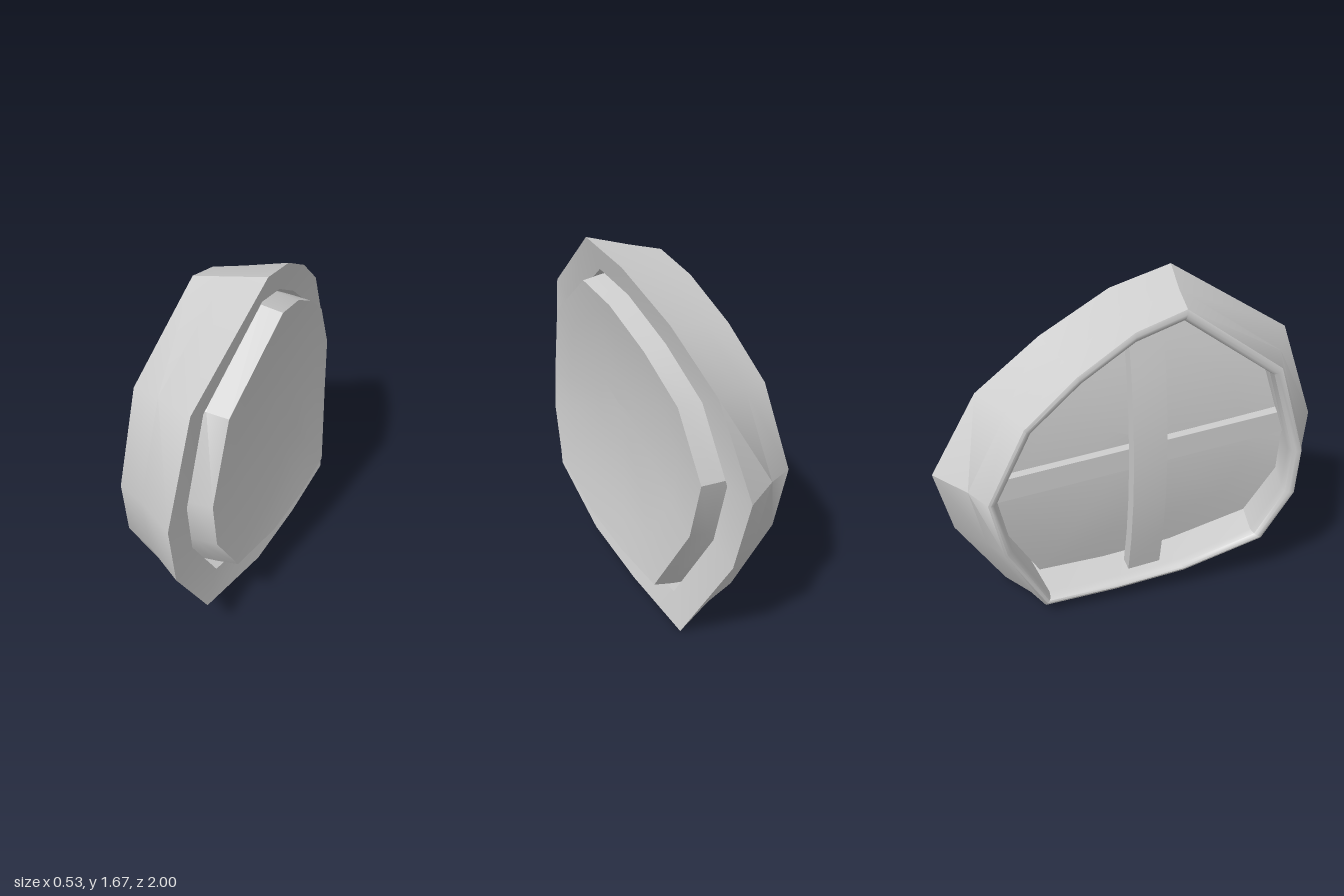
import * as THREE from 'three';
import { toCreasedNormals } from 'three/addons/utils/BufferGeometryUtils.js';

const MID = 0.835; // height of the plate's middle
const material = new THREE.MeshStandardMaterial({ color: 0xcccccc, side: THREE.DoubleSide });

// Outlines as [z, y], counter-clockwise seen from +x
const OUTER = [[0.25, 1.67], [0.84, 1.31], [1, 0.81], [0.985, 0.53], [0.8, 0.22], [0.27, 0.07], [-0.2, 0.02],
  [-0.67, 0], [-0.92, 0.45], [-1, 0.79], [-0.76, 1.18], [-0.43, 1.41], [-0.07, 1.59]];
const OPENING = [[0.2, 1.52], [0.69, 1.22], [0.82, 0.8], [0.81, 0.57], [0.65, 0.31], [0.21, 0.185], [-0.18, 0.14],
  [-0.54, 0.13], [-0.75, 0.5], [-0.81, 0.79], [-0.62, 1.11], [-0.35, 1.3], [-0.06, 1.455]];

// Outline scaled about height cy, laid on a sheet that bends towards +x at top and bottom
function loop(outline, x, scaleZ, scaleY, cy, bend = 0.2) {
  return outline.map(([z, y]) => {
    const h = cy + (y - cy) * scaleY;
    return [x + bend * (h - MID) ** 2, h, z * scaleZ];
  });
}

const frameLoop = (x, scaleZ, scaleY, bend) => loop(OUTER, x, scaleZ, scaleY, 0.67, bend);
const panelLoop = (x, scaleZ, scaleY) => loop(OPENING, x, scaleZ, scaleY, 0.9);

// Skin between successive loops
function loft(name, loops, crease) {
  const n = loops[0].length;
  const index = [];
  for (let j = 0; j < loops.length - 1; j++) {
    for (let i = 0; i < n; i++) {
      const k = (i + 1) % n;
      const a = j * n + i, b = j * n + k, c = b + n, d = a + n;
      index.push(a, b, c, a, c, d);
    }
  }
  const geometry = new THREE.BufferGeometry();
  geometry.setAttribute('position', new THREE.Float32BufferAttribute(loops.flat(2), 3));
  geometry.setIndex(index);
  const mesh = new THREE.Mesh(toCreasedNormals(geometry, crease), material);
  mesh.name = name;
  return mesh;
}

export function createModel() {
  const group = new THREE.Group();
  group.name = 'hollowPlate';

  // Frame: inner wall, rounded back lip, sloping outer wall, front rim
  group.add(loft('frame', [
    panelLoop(0.07, 1, 1),
    frameLoop(-0.21, 0.742, 0.85, 0.18),
    frameLoop(-0.252, 0.748, 0.858, 0.18),
    frameLoop(-0.268, 0.762, 0.872, 0.18),
    frameLoop(-0.274, 0.778, 0.888, 0.18),
    frameLoop(-0.27, 0.79, 0.91, 0.18),
    frameLoop(-0.13, 0.86, 0.946),
    frameLoop(0.07, 1, 1),
    panelLoop(0.07, 1, 1),
  ], 0.7));

  // Thick bent panel standing in the opening with a narrow gap around it
  const shrink = [1, 0.75, 0.5, 0.25, 0.001];
  group.add(loft('raisedPanel', [
    ...shrink.slice().reverse().map((s) => panelLoop(-0.06, 0.95 * s, 0.99 * s)),
    panelLoop(0.07, 0.95, 0.965),
    ...shrink.map((s) => panelLoop(0.175, 0.95 * s, 0.935 * s)),
  ], 0.7));

  // Upright brace following the bend
  const low = 0.13, high = 1.49, steps = 6;
  const edge = [];
  for (let i = 0; i <= steps; i++) {
    const y = low + ((high - low) * i) / steps;
    edge.push(new THREE.Vector2(-0.19 + 0.2 * (y - MID) ** 2, y));
  }
  const back = edge.map((p) => new THREE.Vector2(p.x + 0.08, p.y)).reverse();
  const braceGeometry = new THREE.ExtrudeGeometry(new THREE.Shape([...edge, ...back]),
    { depth: 0.17, bevelEnabled: false });
  braceGeometry.translate(0, 0, -0.065);
  const upright = new THREE.Mesh(toCreasedNormals(braceGeometry, 0.5), material);
  upright.name = 'uprightBrace';
  group.add(upright);

  // Slightly tilted cross brace
  const cross = new THREE.Mesh(new THREE.BoxGeometry(0.06, 0.115, 1.58), material);
  cross.name = 'crossBrace';
  cross.position.set(-0.08, 0.815, 0);
  cross.rotation.x = -0.097;
  group.add(cross);

  return group;
}
